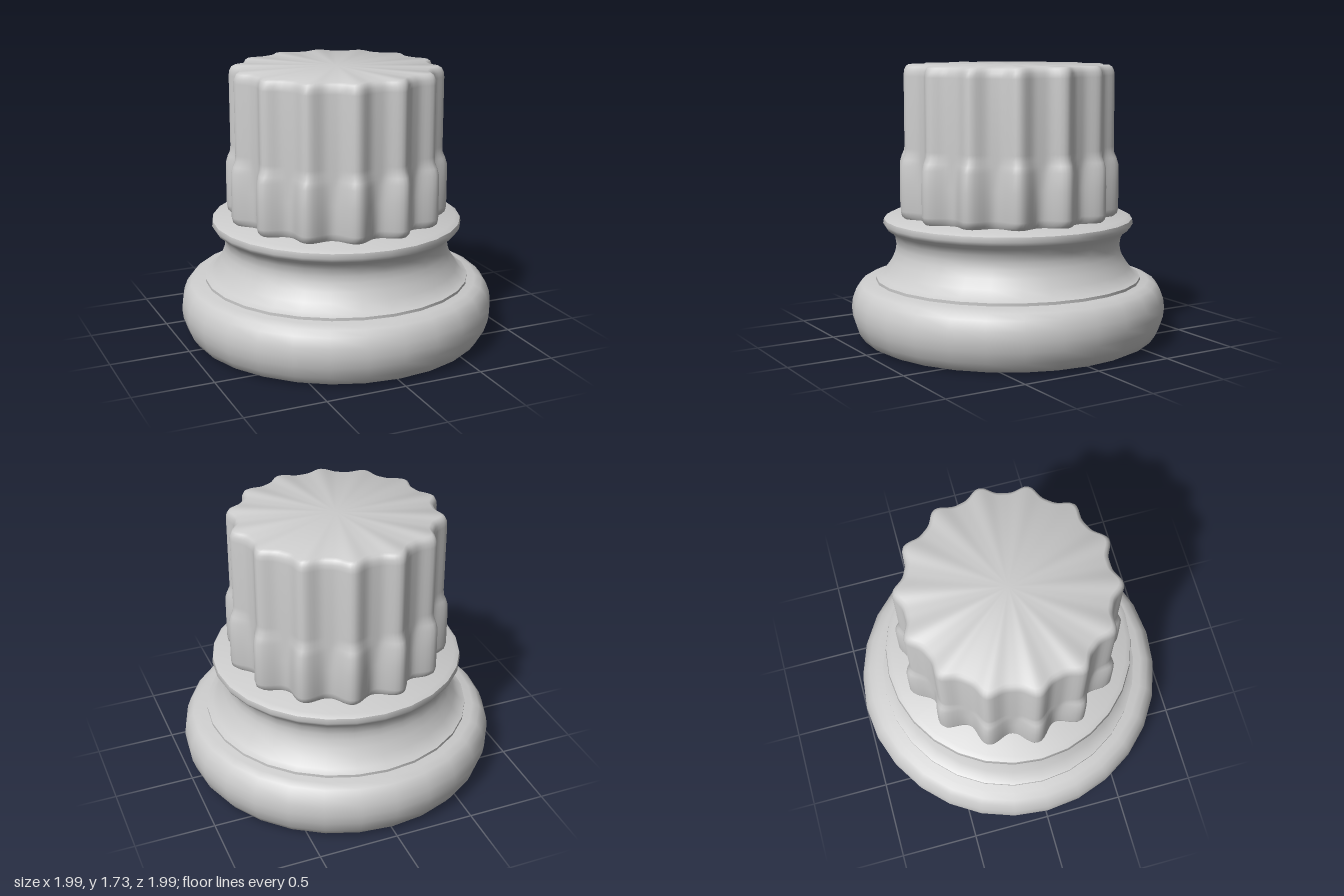
import * as THREE from 'three';
import { toCreasedNormals } from 'three/addons/utils/BufferGeometryUtils.js';

const RIBS = 14;
const STEPS = 14; // points per rib
const material = new THREE.MeshStandardMaterial({ color: 0xcccccc });

function addMesh(group, name, geometry, crease) {
  const mesh = new THREE.Mesh(toCreasedNormals(geometry, crease), material);
  mesh.name = name;
  group.add(mesh);
}

// Turned moulding from [radius, height] pairs, listed bottom to top
function turned(profile) {
  return new THREE.LatheGeometry(profile.map(([r, y]) => new THREE.Vector2(r, y)), 28);
}

// Ribbed shaft: each level is [height, valley radius, rib radius, rib sharpness]
function ribbedShaft(levels) {
  const n = RIBS * STEPS;
  const positions = [];
  const index = [];
  for (const [y, valley, rib, sharpness] of levels) {
    for (let i = 0; i < n; i++) {
      const a = (i / n) * Math.PI * 2;
      const wave = Math.pow((1 + Math.cos(a * RIBS)) / 2, sharpness);
      const r = valley + (rib - valley) * wave;
      positions.push(r * Math.cos(a), y, r * Math.sin(a));
    }
  }
  const last = (levels.length - 1) * n;
  const bottom = levels.length * n;
  positions.push(0, levels[0][0], 0, 0, levels[levels.length - 1][0], 0);
  for (let i = 0; i < n; i++) {
    const j = (i + 1) % n;
    for (let k = 0; k < last; k += n) {
      index.push(k + i, k + n + i, k + j, k + j, k + n + i, k + n + j);
    }
    index.push(bottom, i, j, bottom + 1, last + j, last + i);
  }
  const geometry = new THREE.BufferGeometry();
  geometry.setAttribute('position', new THREE.Float32BufferAttribute(positions, 3));
  geometry.setIndex(index);
  return geometry;
}

export function createModel() {
  const group = new THREE.Group();
  group.name = 'columnBase';

  // Wide rounded foot ring
  addMesh(group, 'footRing', turned([
    [0, 0], [0.89, 0], [0.93, 0.02], [0.965, 0.07], [0.988, 0.14], [0.995, 0.2],
    [0.988, 0.26], [0.965, 0.32], [0.935, 0.355], [0.89, 0.375], [0, 0.375],
  ]), 0.75);

  // Hollowed neck with a small step below and a rolled lip above
  addMesh(group, 'neck', turned([
    [0, 0.37], [0.84, 0.37], [0.84, 0.393], [0.805, 0.41], [0.77, 0.455], [0.735, 0.51],
    [0.715, 0.56], [0.708, 0.6], [0.715, 0.645], [0.74, 0.685], [0.775, 0.71],
    [0.79, 0.735], [0.785, 0.765], [0.755, 0.782], [0, 0.782],
  ]), 0.75);

  // Ribbed shaft, with thicker ribs low down and a softened top rim
  addMesh(group, 'ribbedShaft', ribbedShaft([
    [0.775, 0.59, 0.66, 1.2], [0.8, 0.605, 0.69, 1.15], [0.83, 0.61, 0.697, 1.1],
    [1.0, 0.61, 0.697, 1.15], [1.11, 0.61, 0.695, 1.35], [1.15, 0.61, 0.683, 1.6],
    [1.185, 0.61, 0.667, 1.8], [1.22, 0.61, 0.665, 1.8], [1.66, 0.61, 0.665, 1.8],
    [1.69, 0.607, 0.661, 1.8], [1.715, 0.595, 0.648, 1.8], [1.725, 0.575, 0.63, 1.8],
  ]), 0.9);

  return group;
}
